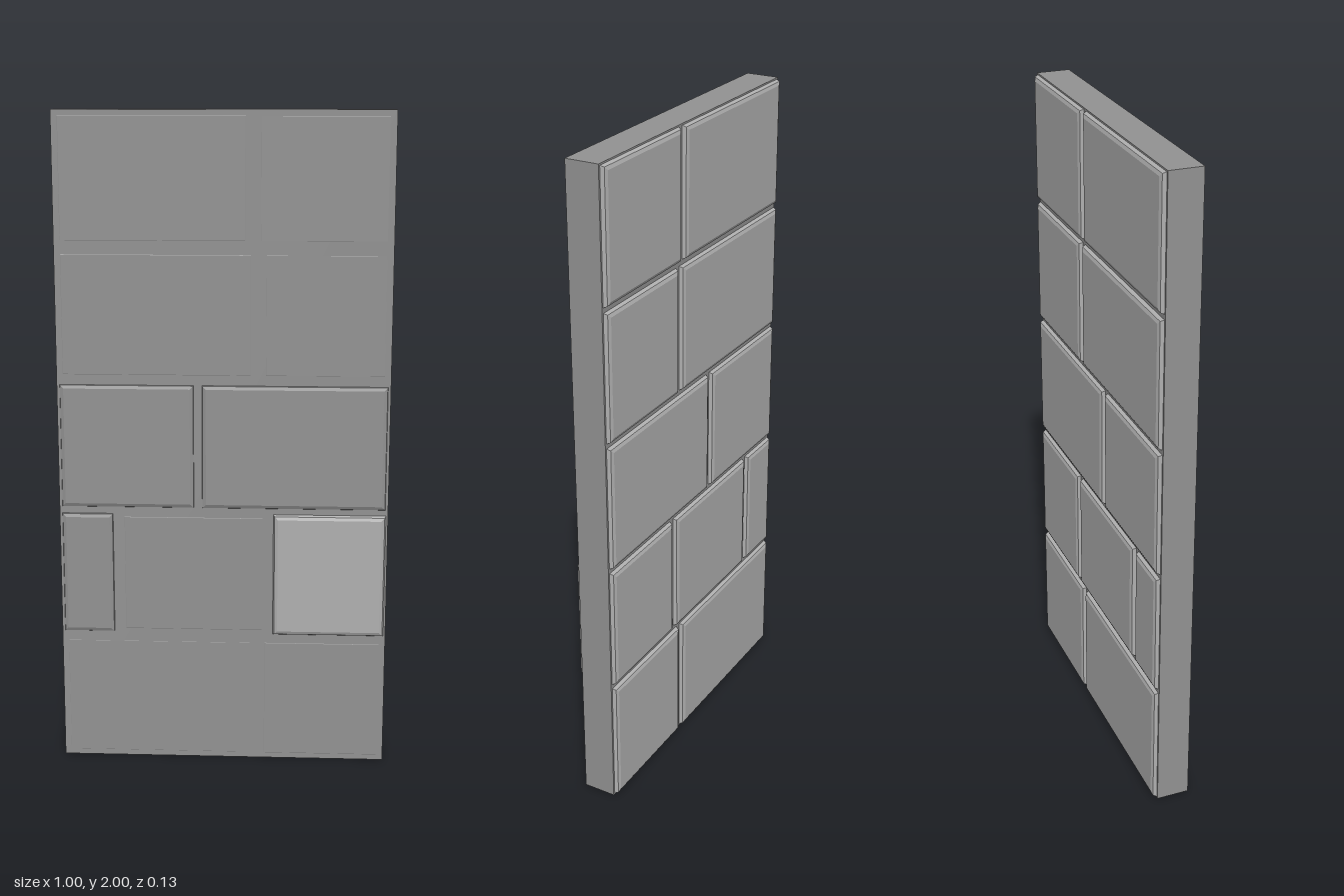
import * as THREE from 'three';

const BEVEL = 0.014;
const BACK = -0.065;
const ROW = 0.4;
const GAP = 0.02;

const DARK = new THREE.MeshStandardMaterial({ color: 0x939393 });
const LIGHT = new THREE.MeshStandardMaterial({ color: 0xb0b0b0 });

// Rows from bottom to top: vertical joints, and front height of each block
const ROWS = [
  { joints: [0.105], fronts: [0.0513, 0.0516] },
  { joints: [-0.324, 0.143], fronts: [0.059, 0.0516, 0.065] },
  { joints: [-0.076], fronts: [0.058, 0.059] },
  { joints: [0.105], fronts: [0.0516, 0.0513] },
  { joints: [0.088], fronts: [0.0516, 0.0513] },
];

// Block with bevelled edges, reaching from depth z0 to z1
function makeBlock(name, [x0, x1, y0, y1], z0, z1, material) {
  const shape = new THREE.Shape();
  shape.moveTo(x0, y0);
  shape.lineTo(x1, y0);
  shape.lineTo(x1, y1);
  shape.lineTo(x0, y1);
  shape.closePath();
  const geometry = new THREE.ExtrudeGeometry(shape, {
    depth: z1 - z0 - 2 * BEVEL,
    bevelEnabled: true,
    bevelThickness: BEVEL,
    bevelSize: BEVEL,
    bevelOffset: -BEVEL,
    bevelSegments: 2,
  });
  geometry.translate(0, 0, z0 + BEVEL);
  const block = new THREE.Mesh(geometry, material);
  block.name = name;
  return block;
}

export function createModel() {
  const group = new THREE.Group();
  group.name = 'stoneWall';

  // Mortar core
  const core = new THREE.Mesh(new THREE.BoxGeometry(1, 2, 0.101), DARK);
  core.position.set(0, 1, 0.0005);
  core.name = 'mortarSlab';
  group.add(core);

  // Courses of stone blocks, set into both faces of the slab
  ROWS.forEach(({ joints, fronts }, r) => {
    const course = new THREE.Group();
    course.name = `course${r + 1}`;
    const edges = [-0.5, ...joints, 0.5];
    fronts.forEach((front, i) => {
      const outline = [
        edges[i] + (i === 0 ? 0.006 : GAP / 2),
        edges[i + 1] - (i === fronts.length - 1 ? 0.006 : GAP / 2),
        r * ROW + (r === 0 ? 0.004 : 0.011),
        (r + 1) * ROW - 0.005,
      ];
      // The most raised front block is paler than its neighbours
      const face = front > 0.06 ? LIGHT : DARK;
      course.add(
        makeBlock(`backBlock${i + 1}`, outline, BACK, 0, LIGHT),
        makeBlock(`frontBlock${i + 1}`, outline, 0, front, face),
      );
    });
    group.add(course);
  });
  return group;
}
